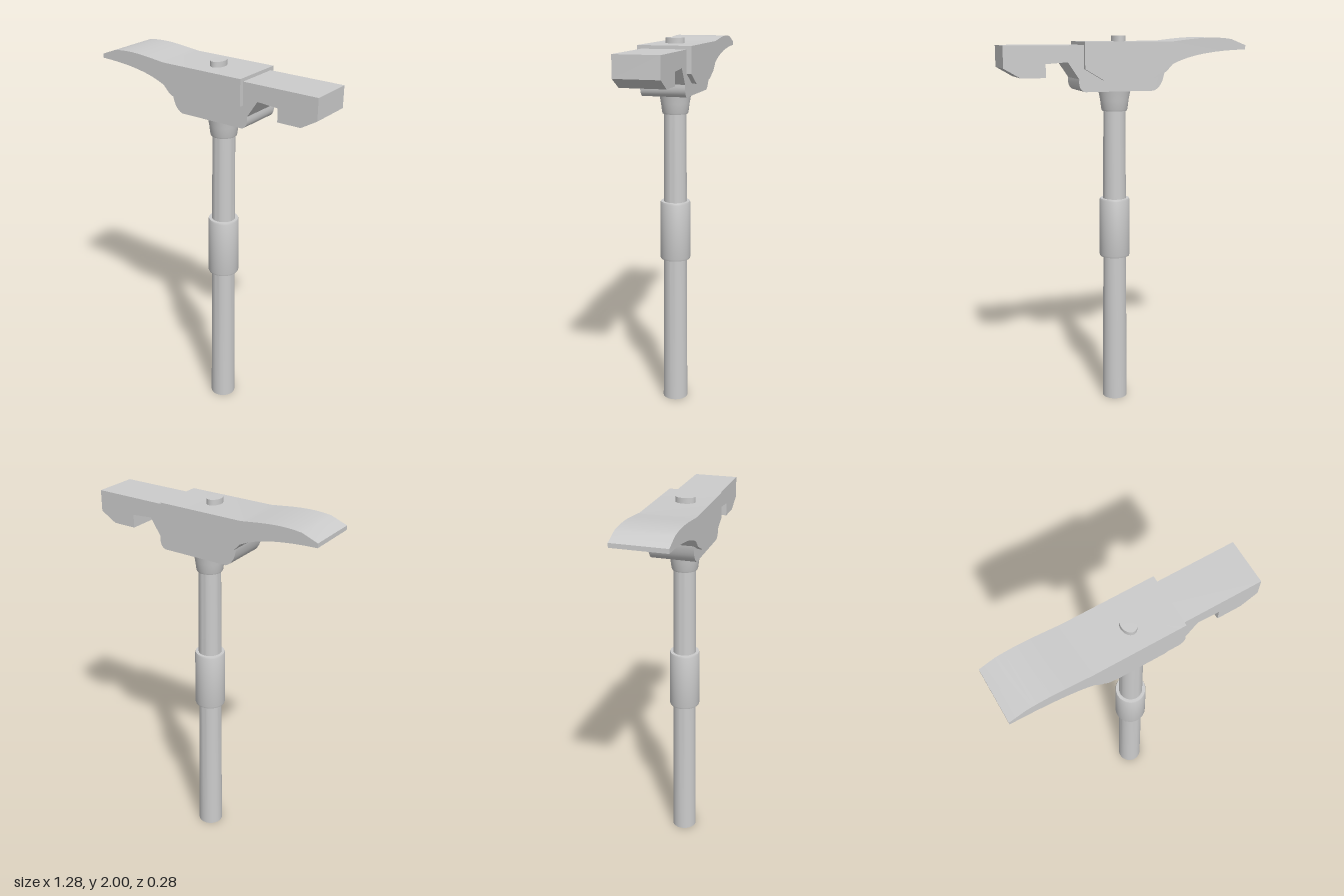
import * as THREE from 'three';
import { toCreasedNormals } from 'three/addons/utils/BufferGeometryUtils.js';

const material = new THREE.MeshStandardMaterial({ color: 0xcccccc });

function addMesh(group, name, geometry, crease = 0.5) {
  const mesh = new THREE.Mesh(toCreasedNormals(geometry, crease), material);
  mesh.name = name;
  group.add(mesh);
  return mesh;
}

// Extrude a side profile between two z positions
function slab(shape, zMin, zMax) {
  const geometry = new THREE.ExtrudeGeometry(shape, { depth: zMax - zMin, bevelEnabled: false, curveSegments: 8 });
  return geometry.translate(0, 0, zMin);
}

function turned(points) {
  return new THREE.LatheGeometry(points.map(([r, y]) => new THREE.Vector2(r, y)), 40);
}

export function createModel() {
  const model = new THREE.Group();
  const axisX = 0.037;

  // Tapered shaft, closed at both ends
  addMesh(model, 'handle', turned([
    [0, 0], [0.068, 0], [0.062, 0.85], [0.062, 1.12], [0.058, 1.64], [0, 1.64],
  ])).position.x = axisX;

  // Grip sleeve around the middle of the shaft
  addMesh(model, 'gripSleeve', turned([
    [0.06, 0.825], [0.08, 0.825], [0.083, 0.835], [0.081, 1.135], [0.078, 1.145], [0.055, 1.145],
  ])).position.x = axisX;

  // Flared neck under the head
  addMesh(model, 'neck', turned([
    [0.05, 1.615], [0.066, 1.615], [0.069, 1.623], [0.075, 1.67], [0.086, 1.728], [0, 1.728],
  ])).position.x = axisX;

  // Narrow core with the hooked hammer end
  const core = new THREE.Shape();
  core.moveTo(-0.2, 1.955);
  core.lineTo(-0.2, 1.82);
  core.bezierCurveTo(-0.19, 1.765, -0.175, 1.735, -0.14, 1.722);
  core.lineTo(0.225, 1.722);
  core.bezierCurveTo(0.25, 1.727, 0.262, 1.75, 0.257, 1.787);
  core.lineTo(0.315, 1.872);
  core.lineTo(0.428, 1.864);
  core.lineTo(0.428, 1.796);
  core.lineTo(0.555, 1.796);
  core.lineTo(0.64, 1.845);
  core.lineTo(0.64, 1.955);
  addMesh(model, 'hammerCore', slab(core, -0.118, 0.115));

  // Wide outer casing that sweeps out into the curved blade
  const blade = new THREE.Shape();
  blade.moveTo(0.232, 1.972);
  blade.lineTo(-0.235, 1.972);
  blade.bezierCurveTo(-0.36, 1.986, -0.45, 2.0, -0.56, 1.983);
  blade.lineTo(-0.643, 1.951);
  blade.lineTo(-0.643, 1.929);
  blade.bezierCurveTo(-0.47, 1.925, -0.33, 1.905, -0.235, 1.857);
  blade.lineTo(-0.2, 1.82);
  blade.lineTo(-0.12, 1.781);
  blade.lineTo(0.135, 1.781);
  blade.lineTo(0.232, 1.838);
  addMesh(model, 'bladeCasing', slab(blade, -0.142, 0.138), 0.3);

  // Oval pin on top of the head
  const pin = addMesh(model, 'topPin', new THREE.CylinderGeometry(1, 1, 0.04, 32));
  pin.scale.set(0.037, 1, 0.05);
  pin.position.set(0.012, 1.98, 0.01);

  return model;
}
